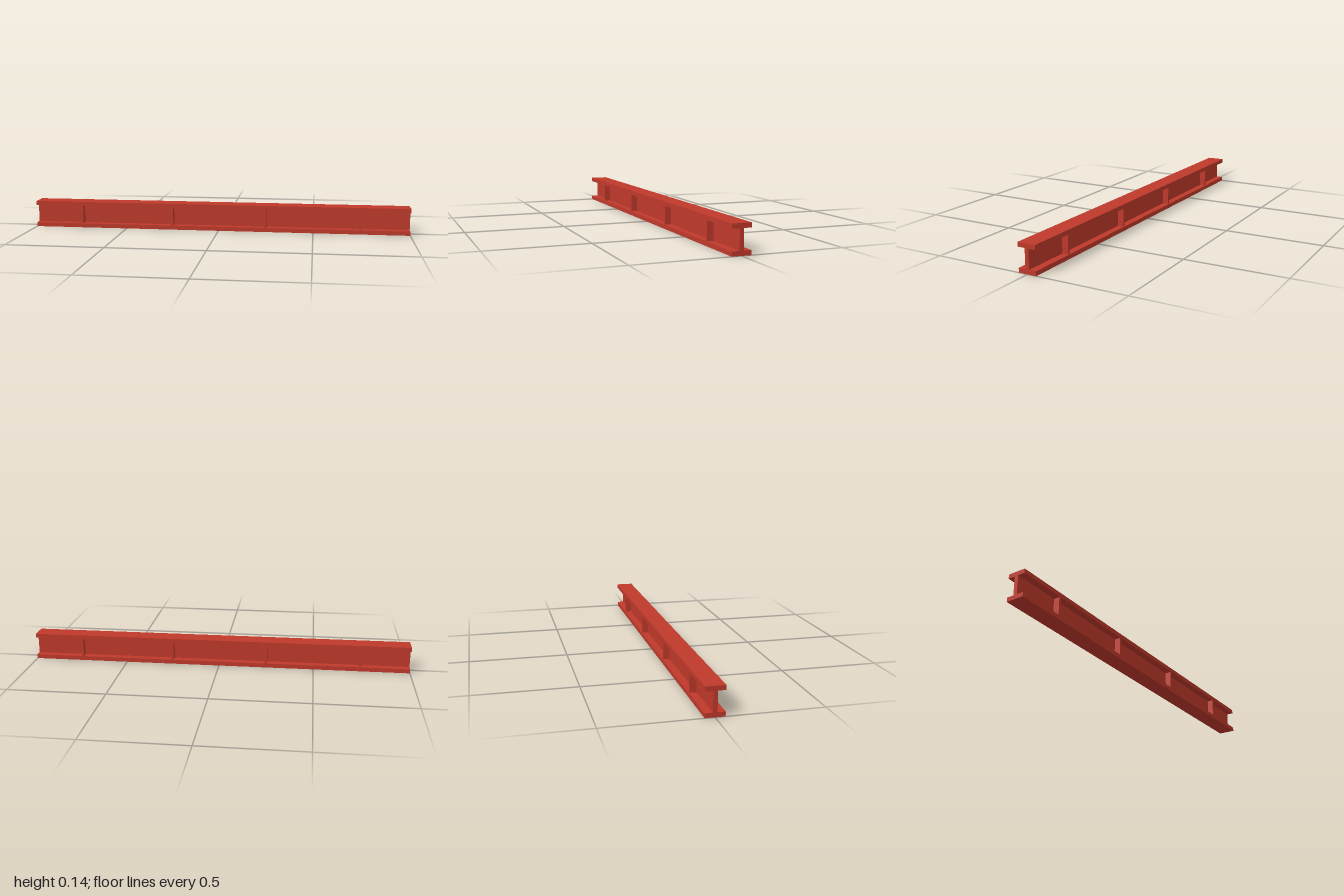
import * as THREE from 'three';

const LENGTH = 2, HEIGHT = 0.14, WIDTH = 0.092;
const FLANGE = 0.022, WEB = 0.02;

export function createModel() {
  const group = new THREE.Group();
  group.name = 'steelBeam';
  const red = new THREE.MeshStandardMaterial({ color: 0xc0392b });
  red.name = 'red paint';

  const add = (name, geometry, x, y, z) => {
    const mesh = new THREE.Mesh(geometry, red);
    mesh.name = name;
    mesh.position.set(x, y, z);
    group.add(mesh);
  };

  // I-section: two flanges joined by a thin web
  const flange = new THREE.BoxGeometry(LENGTH, FLANGE, WIDTH);
  add('bottomFlange', flange, 0, FLANGE / 2, 0);
  add('topFlange', flange, 0, HEIGHT - FLANGE / 2, 0);
  const webHeight = HEIGHT - 2 * FLANGE;
  add('web', new THREE.BoxGeometry(LENGTH, webHeight, WEB), 0, HEIGHT / 2, 0);

  // Stiffener plates on both sides of the web, just short of the flange edges
  const depth = 0.042 - WEB / 2;
  const plate = new THREE.BoxGeometry(0.012, webHeight, depth);
  for (const x of [-0.745, -0.25, 0.25, 0.745]) {
    for (const side of [-1, 1]) {
      add(side > 0 ? 'frontStiffener' : 'backStiffener', plate, x, HEIGHT / 2, side * (WEB + depth) / 2);
    }
  }
  return group;
}
